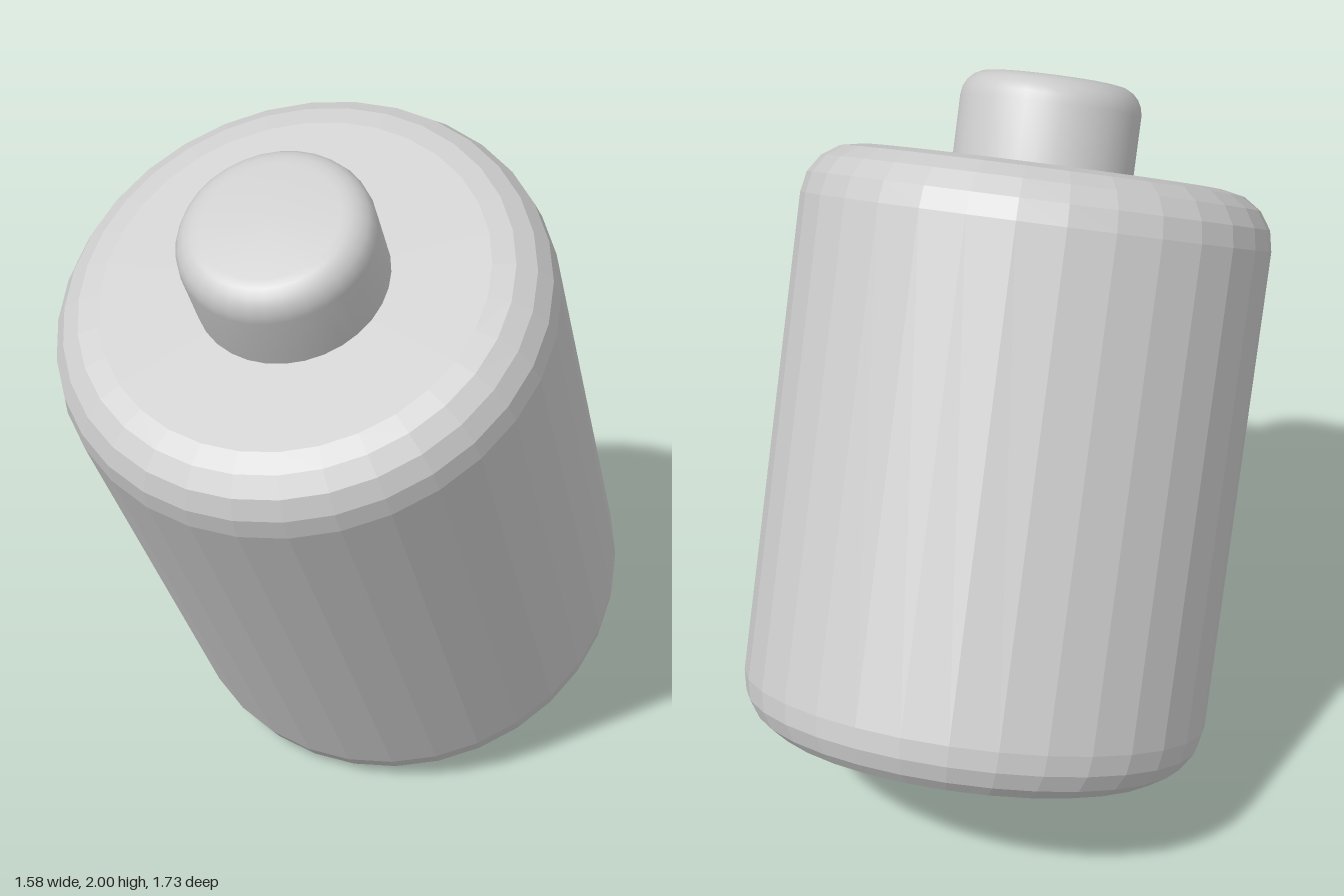
import * as THREE from 'three';
import { toCreasedNormals } from 'three/addons/utils/BufferGeometryUtils.js';

const SIDES = 32;

// Quarter-round edge turning from angle a0 to a1 around (cx, cy)
function arc(cx, cy, r, a0, a1, steps) {
  const pts = [];
  for (let i = 0; i <= steps; i++) {
    const a = a0 + ((a1 - a0) * i) / steps;
    pts.push(new THREE.Vector2(cx + r * Math.cos(a), cy + r * Math.sin(a)));
  }
  return pts;
}

export function createModel() {
  const model = new THREE.Group();
  model.name = 'battery';

  const radius = 0.65, half = 0.815, bevel = 0.15;
  const knobRadius = 0.25, knobTop = 1.057, knobBevel = 0.075;

  // Main cell: cylinder with both rims rounded
  const cellProfile = [
    new THREE.Vector2(0, -half),
    ...arc(radius - bevel, -half + bevel, bevel, -Math.PI / 2, 0, 4),
    ...arc(radius - bevel, half - bevel, bevel, 0, Math.PI / 2, 4),
    new THREE.Vector2(0, half),
  ];
  const cell = new THREE.Mesh(
    new THREE.LatheGeometry(cellProfile, SIDES),
    new THREE.MeshStandardMaterial({ color: 0xcccccc, flatShading: true })
  );
  cell.name = 'cellBody';

  // Terminal knob: rounded on top, sunk slightly into the cell
  const knobProfile = [
    new THREE.Vector2(0, half - 0.03),
    new THREE.Vector2(knobRadius, half - 0.03),
    ...arc(knobRadius - knobBevel, knobTop - knobBevel, knobBevel, 0, Math.PI / 2, 5),
    new THREE.Vector2(0, knobTop),
  ];
  const knob = new THREE.Mesh(
    toCreasedNormals(new THREE.LatheGeometry(knobProfile, SIDES), 0.5),
    new THREE.MeshStandardMaterial({ color: 0xcccccc })
  );
  knob.name = 'terminalKnob';

  // Lean the whole battery forward and to its right
  const tilted = new THREE.Group();
  tilted.name = 'tiltedBattery';
  tilted.add(cell, knob);
  tilted.quaternion.setFromUnitVectors(
    new THREE.Vector3(0, 1, 0),
    new THREE.Vector3(-0.267, 1, 0.426).normalize()
  );
  tilted.position.y = 0.97;
  model.add(tilted);
  return model;
}
